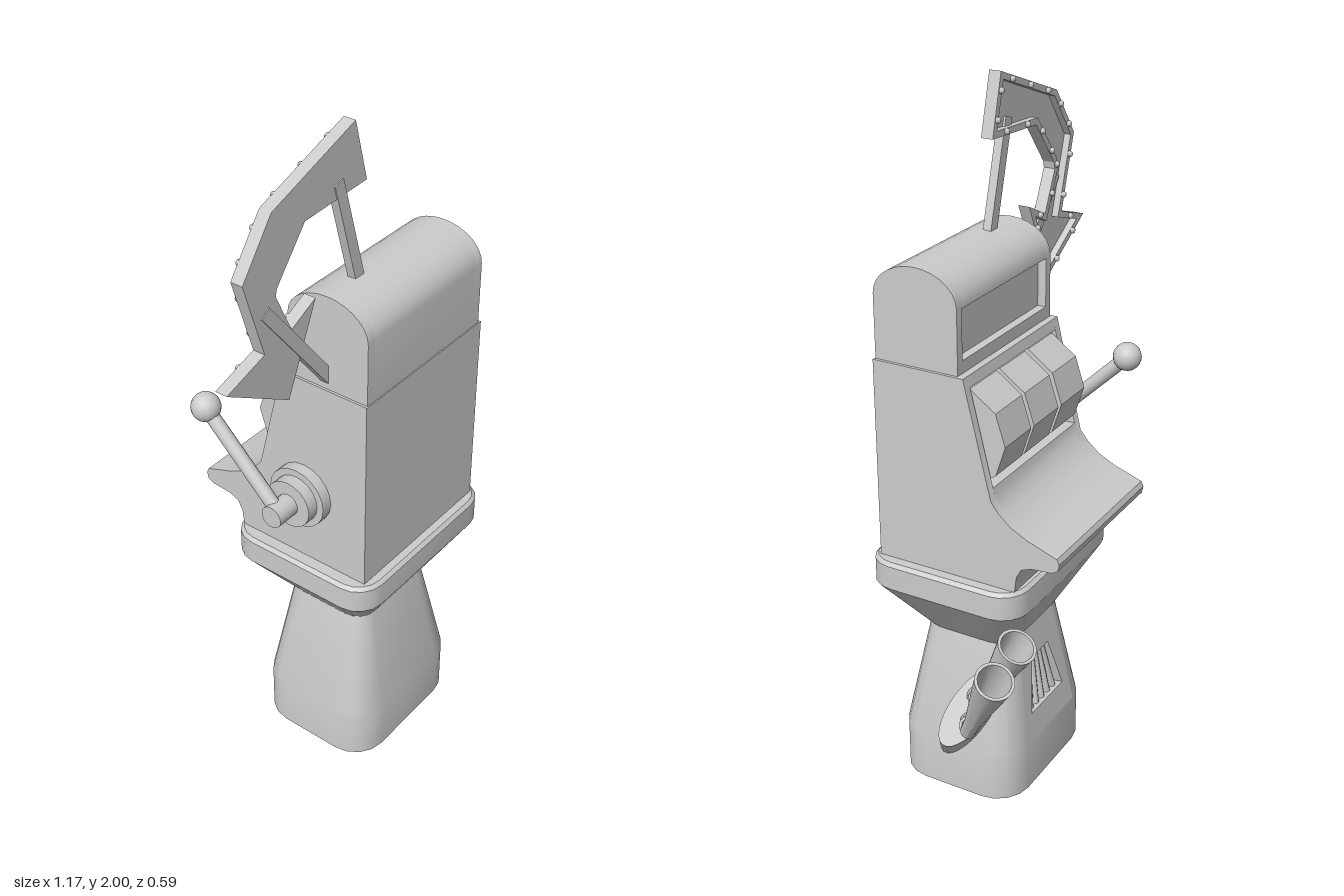
import * as THREE from 'three';
import { toCreasedNormals } from 'three/addons/utils/BufferGeometryUtils.js';

const V = (x, y, z) => new THREE.Vector3(x, y, z);

export function createModel() {
  const root = new THREE.Group();
  const mat = new THREE.MeshStandardMaterial({ color: 0xcccccc, side: THREE.DoubleSide });

  const add = (name, geo, parent = root) => {
    const m = new THREE.Mesh(geo, mat);
    m.name = name;
    parent.add(m);
    return m;
  };
  const group = (name) => {
    const g = new THREE.Group();
    g.name = name;
    root.add(g);
    return g;
  };
  const poly = (pts) => new THREE.Shape(pts.map(([x, y]) => new THREE.Vector2(x, y)));
  const extrude = (shape, depth) => new THREE.ExtrudeGeometry(shape, { depth, bevelEnabled: false });

  // extrudes a [z, y] side profile from x0 to x1
  const slab = (pts, x0, x1) => toCreasedNormals(
    extrude(poly(pts.map(([z, y]) => [-z, y])), x1 - x0).rotateY(Math.PI / 2).translate(x0, 0, 0), 0.5);

  // cylinder between two points
  const rod = (name, a, b, r, parent, sides = 12) => {
    const m = add(name, new THREE.CylinderGeometry(r, r, a.distanceTo(b), sides), parent);
    m.position.copy(a).lerp(b, 0.5);
    m.quaternion.setFromUnitVectors(V(0, 1, 0), b.clone().sub(a).normalize());
    return m;
  };

  // ---- pedestal: rounded rectangles lofted upward [y, x0, x1, z0, z1, radius]
  const sections = [
    [0, -0.2, 0.275, -0.14, 0.25, 0.1],
    [0.15, -0.2, 0.275, -0.14, 0.25, 0.1],
    [0.48, -0.125, 0.2, -0.085, 0.19, 0.06],
    [0.65, -0.26, 0.33, -0.18, 0.295, 0.08],
    [0.72, -0.26, 0.33, -0.18, 0.295, 0.08],
    [0.73, -0.25, 0.32, -0.17, 0.285, 0.07],
  ];
  const N = 20, pos = [], idx = [];
  for (const [y, x0, x1, z0, z1, r] of sections) {
    for (let i = 0; i < N; i++) {
      const c = Math.floor(i / 5), a = (c + (i % 5) / 4) * Math.PI / 2;
      const cx = c === 0 || c === 3 ? x1 - r : x0 + r;
      const cz = c < 2 ? z1 - r : z0 + r;
      pos.push(cx + r * Math.cos(a), y, cz + r * Math.sin(a));
    }
  }
  const last = (sections.length - 1) * N;
  for (let s = 0; s < sections.length - 1; s++) {
    for (let i = 0; i < N; i++) {
      if (s === 1 && i === 14) continue; // left open for the grille panel
      const j = (i + 1) % N, a = s * N;
      idx.push(a + i, a + N + i, a + j, a + j, a + N + i, a + N + j);
    }
  }
  for (let i = 1; i < N - 1; i++) idx.push(0, i, i + 1, last, last + i + 1, last + i);
  const loft = new THREE.BufferGeometry();
  loft.setAttribute('position', new THREE.Float32BufferAttribute(pos, 3));
  loft.setIndex(idx);
  add('pedestal', toCreasedNormals(loft, 0.45));

  // ---- coin grille set into the sloping pedestal face
  const grille = group('grille');
  grille.position.set(0, 0.15, -0.14);
  grille.rotation.x = Math.atan2(0.055, 0.33);
  const panel = poly([[-0.1, 0], [0.175, 0], [0.14, 0.3346], [-0.065, 0.3346]]);
  panel.holes.push(poly([[-0.055, 0.08], [-0.01, 0.24], [0.085, 0.24], [0.13, 0.08]]));
  add('grillePanel', extrude(panel, 0.03), grille);
  add('grilleBack', new THREE.BoxGeometry(0.2, 0.2, 0.01).translate(0.0375, 0.16, 0.045), grille);
  for (let i = -2; i <= 2; i++) {
    rod('grilleBar', V(0.0375 + i * 0.034, 0.075, 0.022), V(0.0375 + i * 0.018, 0.245, 0.022), 0.011, grille, 8);
  }

  // ---- cabinet with protruding coin lip; the middle slab is recessed for the reels
  const cabinet = group('cabinet');
  const lip = [[-0.09, 0.98], [-0.115, 0.95], [-0.15, 0.92], [-0.2, 0.895], [-0.285, 0.865], [-0.292, 0.85],
    [-0.288, 0.83], [-0.27, 0.82], [-0.21, 0.815], [-0.18, 0.803], [-0.165, 0.775], [-0.16, 0.73], [0.263, 0.73], [0.263, 1.31]];
  const side = [[-0.01, 1.31], ...lip];
  const middle = [[-0.01, 1.31], [-0.017, 1.28], [0.03, 1.27], [-0.02, 1.01], [-0.083, 1.01], ...lip];
  add('cabinetRight', slab(side, -0.217, -0.192), cabinet);
  add('cabinetMiddle', slab(middle, -0.192, 0.268), cabinet);
  add('cabinetLeft', slab(side, 0.268, 0.292), cabinet);

  // ---- three faceted reels
  [[-0.184, -0.047], [-0.03, 0.107], [0.122, 0.26]].forEach(([a, b]) => {
    const g = new THREE.CylinderGeometry(0.15, 0.15, b - a, 10).rotateZ(Math.PI / 2).toNonIndexed();
    g.computeVertexNormals();
    add('reel', g).position.set((a + b) / 2, 1.13, 0.035);
  });

  // ---- rounded top box with a recessed window
  const head = group('head');
  const arc = [];
  for (let i = 0; i <= 14; i++) {
    const a = i / 14 * Math.PI;
    arc.push([0.135 + 0.125 * Math.cos(a), 1.49 + 0.09 * Math.sin(a)]);
  }
  const headSide = [[0.26, 1.31], ...arc, [0.01, 1.31]];
  const headMiddle = [[0.26, 1.31], ...arc, [0.01, 1.485], [0.035, 1.485], [0.035, 1.345], [0.01, 1.345], [0.01, 1.31]];
  add('headRight', slab(headSide, -0.21, -0.185), head);
  add('headMiddle', slab(headMiddle, -0.185, 0.258), head);
  add('headLeft', slab(headSide, 0.258, 0.283), head);

  // ---- pull lever
  const lever = group('lever');
  const hub = (x0, x1, r) => rod('leverHub', V(x0, 0.95, 0.06), V(x1, 0.95, 0.06), r, lever, 20);
  hub(-0.25, -0.2, 0.09);
  hub(-0.285, -0.25, 0.07);
  hub(-0.355, -0.285, 0.032);
  rod('leverArm', V(-0.325, 0.95, 0.06), V(-0.325, 1.185, -0.18), 0.02, lever);
  add('leverKnob', new THREE.SphereGeometry(0.041, 16, 12), lever).position.set(-0.325, 1.185, -0.178);

  // ---- exhaust: slanted oval mount and two flared pipes
  const exhaust = group('exhaust');
  const L = V(0.0725, -0.1, 0.05), D = V(0.12, 0.132, -0.072);
  const S = L.clone().cross(D).setLength(0.055);
  add('exhaustMount', new THREE.CylinderGeometry(1, 1, 1, 28).applyMatrix4(
    new THREE.Matrix4().makeBasis(L, D, S).setPosition(0.25, 0.264, 0.006)), exhaust);
  [
    [V(0.27, 0.345, -0.025), V(0.375, 0.41, -0.1), V(0.432, 0.668, -0.247)],
    [V(0.315, 0.285, -0.03), V(0.43, 0.35, -0.095), V(0.541, 0.625, -0.243)],
  ].forEach(([base, bend, top]) => {
    rod('pipeCollar', base, base.clone().lerp(bend, 0.5), 0.028, exhaust, 16);
    rod('pipe', base, bend, 0.021, exhaust, 16);
    add('pipeElbow', new THREE.SphereGeometry(0.022, 16, 10), exhaust).position.copy(bend);
    const h = bend.distanceTo(top);
    const profile = [[0, 0], [0.021, 0], [0.024, 0.07], [0.053, h], [0.045, h], [0.02, 0.09], [0, 0.09]];
    const cone = add('pipeFlare', toCreasedNormals(
      new THREE.LatheGeometry(profile.map(([x, y]) => new THREE.Vector2(x, y)), 24), 0.6), exhaust);
    cone.position.copy(bend);
    cone.quaternion.setFromUnitVectors(V(0, 1, 0), top.clone().sub(bend).normalize());
  });

  // ---- bent arrow sign with raised rim and bulbs
  const sign = group('arrowSign');
  const outline = [[-0.1, 1.998], [-0.407, 1.89], [-0.513, 1.75], [-0.445, 1.535], [-0.582, 1.492], [-0.36, 1.36],
    [-0.254, 1.598], [-0.345, 1.555], [-0.4, 1.67], [-0.395, 1.69], [-0.29, 1.818], [-0.055, 1.83]];
  const inset = (pts, d) => pts.map((p, i) => {
    const q = pts[(i + pts.length - 1) % pts.length], r = pts[(i + 1) % pts.length];
    const normal = (a, b) => new THREE.Vector2(a[1] - b[1], b[0] - a[0]).normalize();
    const n1 = normal(q, p), n2 = normal(p, r), k = d / (1 + n1.dot(n2));
    return [p[0] + (n1.x + n2.x) * k, p[1] + (n1.y + n2.y) * k];
  });
  add('arrowPlate', extrude(poly(outline), 0.015).translate(0, 0, 0.12), sign);
  const rim = poly(outline);
  rim.holes.push(poly(inset(outline, 0.018)));
  add('arrowRim', extrude(rim, 0.02).translate(0, 0, 0.1), sign);
  const bulbLine = inset(outline, 0.01);
  bulbLine.forEach((p, i) => {
    const q = bulbLine[(i + 1) % bulbLine.length];
    const n = Math.max(1, Math.round(Math.hypot(q[0] - p[0], q[1] - p[1]) / 0.1));
    for (let k = 0; k < n; k++) {
      const t = (k + 0.5) / n;
      add('bulb', new THREE.SphereGeometry(0.009, 8, 6), sign)
        .position.set(p[0] + (q[0] - p[0]) * t, p[1] + (q[1] - p[1]) * t, 0.097);
    }
  });

  // ---- flat struts carrying the sign
  [[-0.165, 1.865, -0.075, 1.55], [-0.44, 1.645, -0.19, 1.33]].forEach(([x0, y0, x1, y1]) => {
    const m = add('signStrut', new THREE.BoxGeometry(0.034, Math.hypot(x1 - x0, y1 - y0), 0.025), sign);
    m.position.set((x0 + x1) / 2, (y0 + y1) / 2, 0.126);
    m.rotation.z = Math.atan2(x1 - x0, y0 - y1);
  });

  return root;
}
